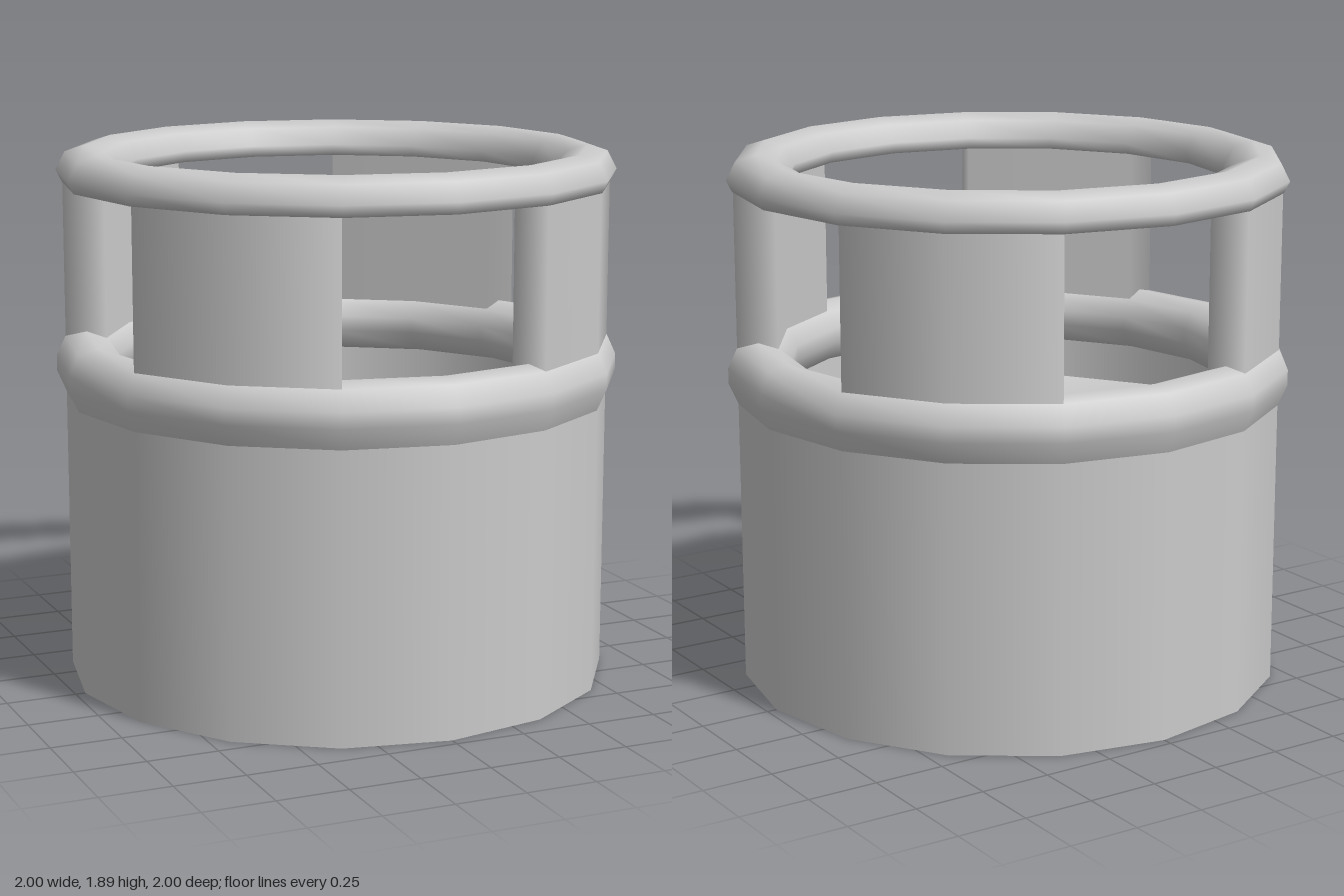
import * as THREE from 'three';

const SIDES = 16;
const material = new THREE.MeshStandardMaterial({ color: 0xcccccc, side: THREE.DoubleSide });

// Surface of revolution from [radius, height] pairs
function lathe(name, profile) {
  const points = profile.map(([r, y]) => new THREE.Vector2(r, y));
  const mesh = new THREE.Mesh(new THREE.LatheGeometry(points, SIDES), material);
  mesh.name = name;
  return mesh;
}

// Curved post, two facets wide: a six-sided tube bent to an arc-shaped section
function makePost(start) {
  const inner = 0.82, outer = 0.965, bottom = 1.12, top = 1.78;
  const section = [
    [outer, 0], [outer, 1], [outer, 2], [inner, 2], [inner, 1], [inner, 0]
  ];
  const geometry = new THREE.CylinderGeometry(1, 1, 1, 6, 1, true);
  const { position, normal } = geometry.attributes;
  for (let i = 0; i < position.count; i++) {
    const [radius, turn] = section[(i % 7) % 6];
    const angle = start + turn * Math.PI / 8;
    const y = position.getY(i) > 0 ? top : bottom;
    position.setXYZ(i, radius * Math.sin(angle), y, radius * Math.cos(angle));
    // smooth normals, leaning outward at the corners
    const lean = (turn - 1) * 0.4;
    const facing = radius === outer ? angle + lean : angle + Math.PI - lean;
    normal.setXYZ(i, Math.sin(facing), 0, Math.cos(facing));
  }
  const post = new THREE.Mesh(geometry, material);
  post.name = 'post';
  return post;
}

export function createModel() {
  const model = new THREE.Group();
  model.name = 'ventedCap';

  // Open outer skirt
  model.add(lathe('skirt', [[0.965, 0], [0.965, 1.01]]));

  // Rounded shoulder rim, a closed ring on top of the skirt
  model.add(lathe('shoulderRim', [
    [0.965, 1.01], [0.998, 1.085], [0.998, 1.14], [0.966, 1.21],
    [0.89, 1.226], [0.815, 1.2], [0.782, 1.14], [0.782, 1.085],
    [0.815, 1.02], [0.89, 1.0], [0.965, 1.01]
  ]));

  // Funnel falling from the skirt wall and running on into the central tube
  model.add(lathe('funnelAndTube', [[0.965, 0.835], [0.366, 0.56], [0.366, 0]]));

  // Four posts on the diagonals
  for (let i = 0; i < 4; i++) model.add(makePost(Math.PI / 8 + i * Math.PI / 2));

  // Top ring: rounded above, flattened underneath
  model.add(lathe('topRing', [
    [0.88, 1.764], [0.968, 1.764], [0.988, 1.805], [0.955, 1.868], [0.885, 1.89],
    [0.815, 1.868], [0.778, 1.805], [0.79, 1.764], [0.88, 1.764]
  ]));

  return model;
}
